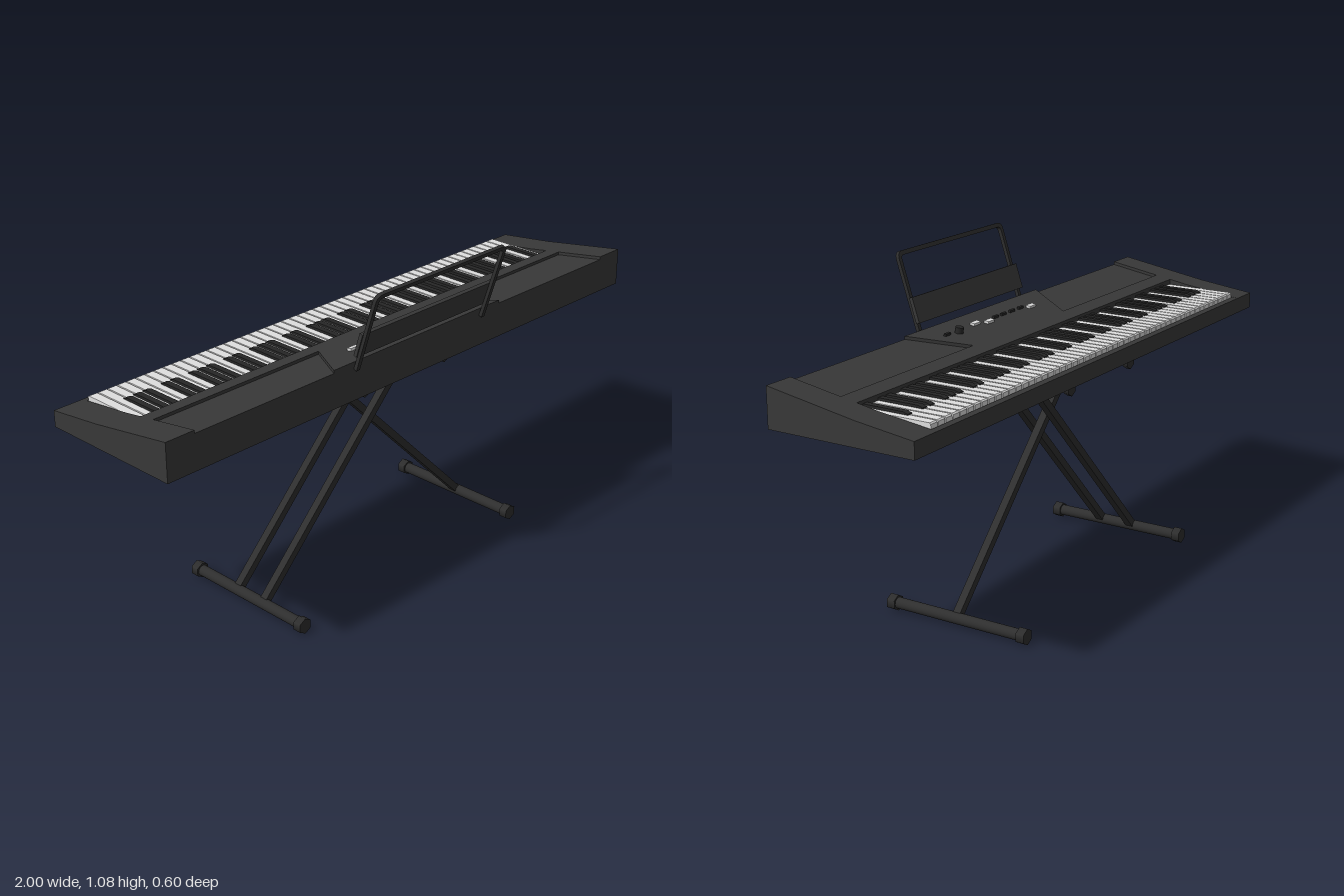
import * as THREE from 'three';

const mat = (name, color) => {
  const m = new THREE.MeshStandardMaterial({ color });
  m.name = name;
  return m;
};

export function createModel() {
  const root = new THREE.Group();
  root.name = 'keyboardOnStand';
  const casing = mat('charcoalCasing', 0x383838);
  const metal = mat('darkMetal', 0x2e2e2e);
  const ivory = mat('whiteKey', 0xe0e0e0);
  const ebony = mat('blackKey', 0x262626);

  const add = (parent, name, geometry, material, x = 0, y = 0, z = 0) => {
    const mesh = new THREE.Mesh(geometry, material);
    mesh.name = name;
    mesh.position.set(x, y, z);
    parent.add(mesh);
    return mesh;
  };
  const group = (name, parent = root) => {
    const g = new THREE.Group();
    g.name = name;
    parent.add(g);
    return g;
  };
  // Side profile given as [z, y], extruded across x and centred
  const profile = (points, width) => {
    const shape = new THREE.Shape(points.map(([z, y]) => new THREE.Vector2(z, y)));
    return new THREE.ExtrudeGeometry(shape, { depth: width, bevelEnabled: false })
      .translate(0, 0, -width / 2)
      .rotateY(-Math.PI / 2);
  };
  // Height of the sloping rear deck
  const deckY = (z) => 0.845 + (z - 0.21) * 0.163;

  // Casing: notched centre, full-height end blocks
  const body = group('body');
  add(body, 'casing', profile([
    [-0.285, 0.72], [0.21, 0.72], [0.21, deckY(0.21) - 0.01], [0.035, deckY(0.035) - 0.01],
    [0.035, deckY(0.035)], [-0.02, deckY(-0.02)], [-0.02, 0.755], [-0.265, 0.755],
    [-0.265, 0.774], [-0.285, 0.772],
  ], 1.796), casing);
  const endGeo = profile([
    [-0.285, 0.72], [0.21, 0.72], [0.21, 0.845], [-0.09, deckY(-0.09)], [-0.285, 0.772],
  ], 0.102);
  for (const s of [-1, 1]) add(body, 'endBlock', endGeo, casing, s * 0.949);

  // Raised control panel, a trapezoid following the deck slope
  const trapezoid = new THREE.Shape([[-0.26, 0.035], [0.26, 0.035], [0.37, 0.21], [-0.37, 0.21]]
    .map(([x, z]) => new THREE.Vector2(x, z)));
  const panelGeo = new THREE.ExtrudeGeometry(trapezoid, { depth: 0.011, bevelEnabled: false }).rotateX(Math.PI / 2);
  const p = panelGeo.attributes.position;
  for (let i = 0; i < p.count; i++) p.setY(i, p.getY(i) + deckY(p.getZ(i)));
  panelGeo.computeVertexNormals();
  add(body, 'controlPanel', panelGeo, casing);

  // Buttons and volume knob
  const controls = group('controls');
  const button = (x, z, w, d, material) => {
    const m = add(controls, 'button', new THREE.BoxGeometry(w, 0.012, d), material, x, deckY(z) + 0.002, z);
    m.rotation.x = -0.16;
  };
  for (const [x, z] of [[-0.2, 0.122], [0.043, 0.122], [0.097, 0.138]]) button(x, z, 0.036, 0.016, ivory);
  for (const x of [-0.155, -0.105, -0.055, -0.01, 0.255]) button(x, 0.134, 0.026, 0.008, ebony);
  const knob = add(controls, 'knob', new THREE.CylinderGeometry(0.013, 0.014, 0.022, 16), ebony, 0.203, deckY(0.125) + 0.008, 0.125);
  knob.rotation.x = -0.16;

  // 52 white keys and 36 black keys; the lowest note sits at +x
  const keys = group('keys');
  const pitch = 1.794 / 52;
  const whiteGeo = profile([[-0.262, 0.756], [-0.02, 0.756], [-0.02, 0.79], [-0.258, 0.79], [-0.262, 0.786]], pitch - 0.005);
  const blackGeo = profile([[-0.175, 0.78], [-0.02, 0.78], [-0.02, 0.798], [-0.155, 0.798], [-0.17, 0.793]], 0.02);
  for (let i = 0; i < 52; i++) {
    const x = 0.897 - (i + 0.5) * pitch;
    add(keys, 'whiteKey', whiteGeo, ivory, x);
    // Counting from A: no black key after B or E
    if (i < 51 && ![1, 4].includes(i % 7)) add(keys, 'blackKey', blackGeo, ebony, x - pitch / 2);
  }

  // Music rest: rounded open frame with a lower plate, leaning back
  const rest = group('musicRest');
  rest.position.set(0, 0.82, 0.212);
  rest.rotation.x = 0.316;
  const arch = (w, h, r) => {
    const s = new THREE.Shape();
    s.moveTo(-w, 0);
    s.lineTo(w, 0);
    s.lineTo(w, h - r);
    s.quadraticCurveTo(w, h, w - r, h);
    s.lineTo(r - w, h);
    s.quadraticCurveTo(-w, h, -w, h - r);
    s.closePath();
    return s;
  };
  const outer = arch(0.287, 0.272, 0.025).getPoints(6);
  const inner = arch(0.273, 0.258, 0.014).getPoints(6);
  // Join the two arches into one open-bottomed outline
  const rim = (pts) => [...pts.slice(1, -1), new THREE.Vector2(pts[0].x, 0)];
  const frame = new THREE.Shape([...rim(outer), ...rim(inner).reverse()]);
  add(rest, 'restFrame', new THREE.ExtrudeGeometry(frame, { depth: 0.012, bevelEnabled: false }), metal, 0, 0, -0.004);
  add(rest, 'restPlate', new THREE.BoxGeometry(0.582, 0.082, 0.012), casing, 0, 0.086, -0.009);

  // Stand: horizontal bars with hexagonal end caps
  const stand = group('stand');
  const bar = (name, x, y, z0, z1, r, capR, capL) => {
    const g = group(name, stand);
    const rod = (part, radius, a, b, sides) => add(g, part,
      new THREE.CylinderGeometry(radius, radius, b - a, sides).rotateX(Math.PI / 2), metal, x, y, (a + b) / 2);
    rod('tube', r, z0 + 0.004, z1 - 0.004, 20);
    rod('endCap', capR, z0, z0 + capL, 6);
    rod('endCap', capR, z1 - capL, z1, 6);
  };
  bar('footBar', -0.494, 0.026, -0.3, 0.2, 0.018, 0.026, 0.028);
  bar('footBar', 0.481, 0.026, -0.3, 0.2, 0.018, 0.026, 0.028);
  bar('topBar', 0.168, 0.704, -0.258, 0.162, 0.016, 0.024, 0.015);
  bar('topBar', -0.19, 0.704, -0.258, 0.162, 0.016, 0.024, 0.015);

  // Crossed legs: a pair on one diagonal, a single leg on the other
  const leg = (x0, x1, z) => {
    const dx = x1 - x0, dy = 0.678;
    const m = add(stand, 'leg', new THREE.BoxGeometry(0.024, Math.hypot(dx, dy), 0.026), metal, (x0 + x1) / 2, 0.365, z);
    m.rotation.z = -Math.atan2(dx, dy);
  };
  leg(-0.494, 0.168, 0.013);
  leg(-0.494, 0.168, -0.105);
  leg(0.481, -0.19, -0.045);

  return root;
}
